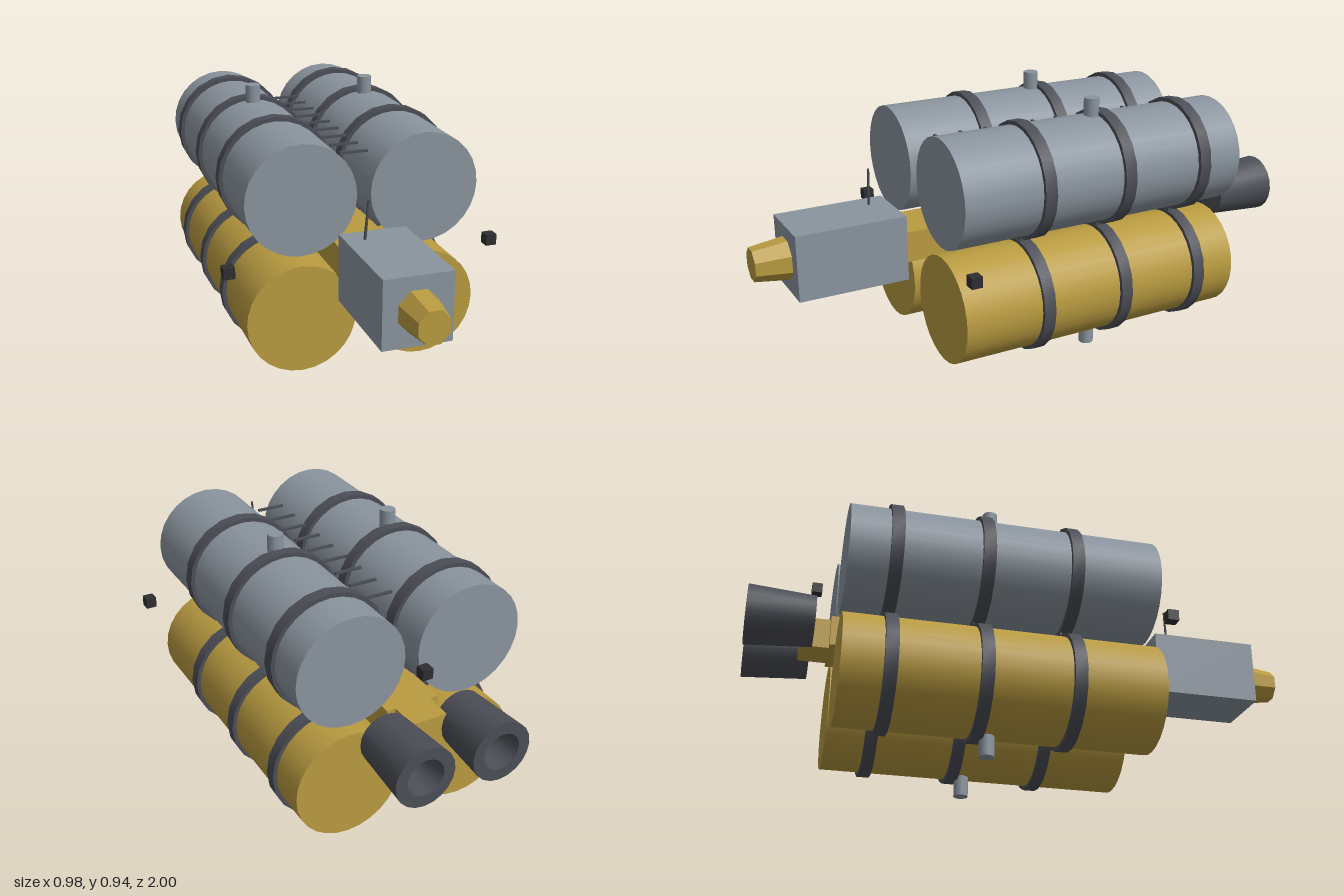
import * as THREE from 'three';
import { toCreasedNormals } from 'three/addons/utils/BufferGeometryUtils.js';

const mat = (name, color) => {
  const m = new THREE.MeshStandardMaterial({ color });
  m.name = name;
  return m;
};

export function createModel() {
  const grey = mat('hull grey', 0x8a949e);
  const gold = mat('foil gold', 0xb99b40);
  const dark = mat('dark metal', 0x4c4e56);
  const black = mat('sensor black', 0x2e2e31);

  const group = new THREE.Group();
  const add = (name, geometry, material, x, y, z) => {
    const mesh = new THREE.Mesh(geometry, material);
    mesh.name = name;
    mesh.position.set(x, y, z);
    group.add(mesh);
    return mesh;
  };
  const box = (name, w, h, d, material, x, y, z) =>
    add(name, new THREE.BoxGeometry(w, h, d), material, x, y, z);
  // Closed profile [radius, height] spun round an axis, with crisp edges
  const spin = (profile, sides) => toCreasedNormals(
    new THREE.LatheGeometry(profile.map(([r, h]) => new THREE.Vector2(r, h)), sides), 0.6);

  const midY = 0.47;
  const bandZ = [0.1, -0.215, -0.53];

  // Four tanks, each with three bands and a filler port
  const tankGeo = new THREE.CylinderGeometry(0.193, 0.193, 1.1, 28).rotateX(Math.PI / 2);
  const bandGeo = spin([[0.185, -0.022], [0.208, -0.022], [0.208, 0.022],
    [0.185, 0.022], [0.185, -0.022]], 20).rotateX(Math.PI / 2);
  const portGeo = new THREE.CylinderGeometry(0.027, 0.027, 0.1, 12);
  for (const side of [-1, 1]) {
    const x = side * 0.217;
    for (const upper of [true, false]) {
      const y = upper ? 0.687 : 0.264;
      const name = upper ? 'upper' : 'lower';
      add(name + 'Tank', tankGeo, upper ? grey : gold, x, y, -0.14);
      add(name + 'Port', portGeo, grey, x, upper ? 0.892 : 0.05, -0.175);
      for (const z of bandZ) add(name + 'Band', bandGeo, dark, x, y, z);
    }
    // Arms from the spine to the bands
    for (const z of bandZ) box('bandArm', 0.2, 0.06, 0.04, dark, side * 0.14, midY, z);
  }
  // Links joining the bands of neighbouring tanks
  for (const z of bandZ) {
    for (const y of [0.687, 0.255]) box('bandLink', 0.05, 0.025, 0.04, dark, 0, y, z);
  }

  // Central spine with side rails
  box('spine', 0.13, 0.11, 1.32, gold, 0, 0.465, -0.15);
  for (const side of [-1, 1]) box('spineRail', 0.032, 0.11, 1.2, gold, side * 0.08, 0.465, -0.11);

  // Rungs between the upper tanks
  for (let i = 0; i < 9; i++) box('rung', 0.1, 0.008, 0.01, dark, 0, 0.803, -0.48 + i * 0.098);

  // Front cabin, docking collar and whip aerial
  box('cabin', 0.234, 0.234, 0.39, grey, 0, 0.472, 0.685);
  const collar = new THREE.CylinderGeometry(0.056, 0.071, 0.12, 8)
    .rotateY(Math.PI / 8).rotateX(Math.PI / 2).scale(1, 1.06, 1).toNonIndexed();
  collar.computeVertexNormals();
  add('dockingCollar', collar, gold, 0, 0.472, 0.94);
  const aerial = add('aerial', new THREE.CylinderGeometry(0.004, 0.005, 0.14, 6), dark, -0.047, 0.653, 0.56);
  aerial.rotation.z = -0.08;

  // Hollow engine nozzles, opening to the rear
  const nozzle = spin([[0, 0], [0.09, 0], [0.105, 0.23], [0.065, 0.23],
    [0.045, 0.1], [0, 0.1]], 20).rotateX(-Math.PI / 2);
  for (const side of [-1, 1]) add('engineNozzle', nozzle, dark, side * 0.138, midY, -0.77);

  // Free-standing sensor cubes
  for (const side of [-1, 1]) box('sideSensor', 0.039, 0.039, 0.039, black, side * 0.469, 0.472, 0.41);
  box('rearSensor', 0.037, 0.037, 0.037, black, 0, 0.668, -0.765);

  return group;
}
